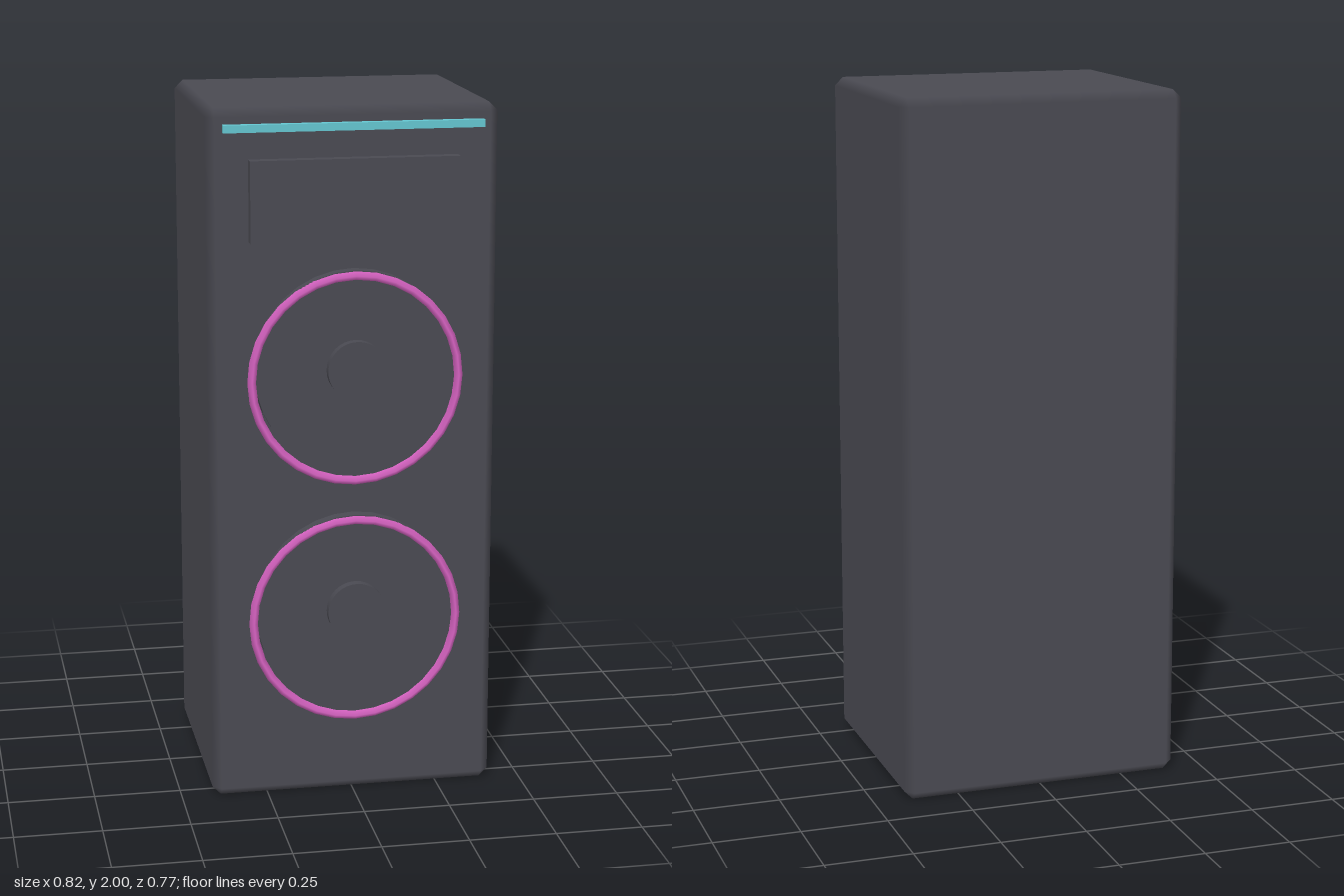
import * as THREE from 'three';
import { ConvexGeometry } from 'three/addons/geometries/ConvexGeometry.js';

// Box with one chamfer per edge; the big faces stay flat and the chamfers blend between them
function chamferBox(w, h, d, c) {
  const half = [w / 2, h / 2, d / 2];
  const points = [];
  for (let axis = 0; axis < 3; axis++)
    for (const sx of [-1, 1]) for (const sy of [-1, 1]) for (const sz of [-1, 1]) {
      const p = [sx, sy, sz].map((s, i) => s * (half[i] - (i === axis ? 0 : c)));
      points.push(new THREE.Vector3(...p));
    }
  const geo = new ConvexGeometry(points);
  const pos = geo.attributes.position, nor = geo.attributes.normal;
  for (let i = 0; i < pos.count; i++) {
    const p = [pos.getX(i), pos.getY(i), pos.getZ(i)];
    const n = p.map((v, k) => (Math.abs(v) > half[k] - c / 2 ? Math.sign(v) : 0));
    nor.setXYZ(i, ...n);
  }
  return geo;
}

export function createModel() {
  const model = new THREE.Group();
  model.name = 'loudspeaker';
  const charcoal = new THREE.MeshStandardMaterial({ name: 'charcoal', color: 0x4a4a52 });
  const pink = new THREE.MeshStandardMaterial({ name: 'pink', color: 0xd964c4 });
  const cyan = new THREE.MeshStandardMaterial({ name: 'cyan', color: 0x64c6d0 });

  const add = (parent, name, geo, mat, x, y, z) => {
    const mesh = new THREE.Mesh(geo, mat);
    mesh.name = name;
    mesh.position.set(x, y, z);
    parent.add(mesh);
    return mesh;
  };

  // Cabinet
  add(model, 'cabinet', chamferBox(0.82, 2, 0.705, 0.024), charcoal, 0, 1, -0.0325);

  // Light strip and tweeter panel
  add(model, 'lightStrip', new THREE.BoxGeometry(0.73, 0.021, 0.03), cyan, 0, 1.946, 0.328);
  add(model, 'tweeterPanel', new THREE.BoxGeometry(0.588, 0.229, 0.045), charcoal, 0, 1.745, 0.333);

  // Woofers: disc, glowing ring and dust cap
  const disc = (r, depth) => new THREE.CylinderGeometry(r, r, depth, 32).rotateX(Math.PI / 2);
  for (const [name, y] of [['upperWoofer', 1.264], ['lowerWoofer', 0.559]]) {
    const woofer = new THREE.Group();
    woofer.name = name;
    woofer.position.y = y;
    add(woofer, 'cone', disc(0.285, 0.045), charcoal, 0, 0, 0.3325);
    add(woofer, 'dustCap', disc(0.083, 0.04), charcoal, 0, 0.005, 0.363);
    add(woofer, 'glowRing', new THREE.TorusGeometry(0.294, 0.0125, 4, 32), pink, 0, -0.024, 0.3545);
    model.add(woofer);
  }
  return model;
}
